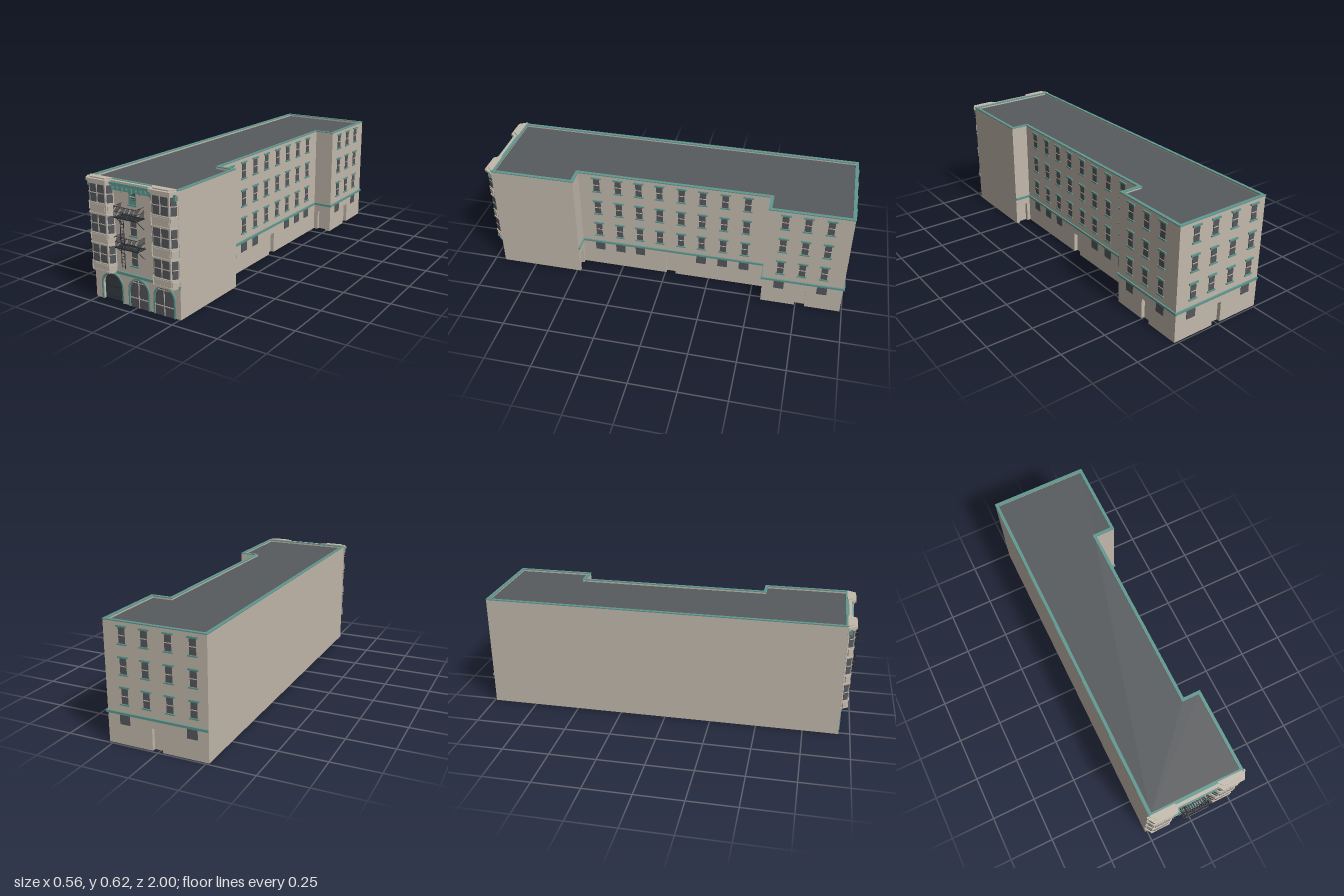
import * as THREE from 'three';

const mat = (name, color) => new THREE.MeshStandardMaterial({ name, color });

export function createModel() {
  const stone = mat('stone', 0xc3b9ac), teal = mat('tealTrim', 0x60988f), glass = mat('glass', 0x55585c);
  const roofing = mat('roofing', 0x585b5e), iron = mat('iron', 0x2f3338);
  const root = new THREE.Group();
  root.name = 'apartmentBuilding';
  const T = 0.012, TOP = 0.616, ZF = 0.94;

  const add = (parent, name, geo, m, x = 0, y = 0, z = 0) => {
    const mesh = new THREE.Mesh(geo, m);
    mesh.name = name;
    mesh.position.set(x, y, z);
    parent.add(mesh);
    return mesh;
  };
  const group = (parent, name, x = 0, y = 0, z = 0, ry = 0) => {
    const g = new THREE.Group();
    g.name = name;
    g.position.set(x, y, z);
    g.rotation.y = ry;
    parent.add(g);
    return g;
  };
  // box spanning u0..u1 and y0..y1, standing d proud of a wall from depth z0
  const panel = (p, name, m, u0, u1, y0, y1, d, z0 = 0) =>
    add(p, name, new THREE.BoxGeometry(u1 - u0, y1 - y0, d), m, (u0 + u1) / 2, (y0 + y1) / 2, z0 + d / 2);
  const extrude = (shape, depth) =>
    new THREE.ExtrudeGeometry(shape, { depth, bevelEnabled: false, curveSegments: 20 });
  const bar = (p, name, a, b, r = 0.0018) => {
    const A = new THREE.Vector3(...a), B = new THREE.Vector3(...b), d = B.clone().sub(A);
    const mesh = add(p, name, new THREE.CylinderGeometry(r, r, d.length(), 6), iron);
    mesh.position.copy(A).add(B).multiplyScalar(0.5);
    mesh.quaternion.setFromUnitVectors(new THREE.Vector3(0, 1, 0), d.normalize());
  };

  // Plan outline, inset by i
  const plan = (i) => [
    [-0.263 + i, 0.94 - i], [0.257 - i, 0.94 - i], [0.257 - i, 0.48 + i], [0.163 - i, 0.48 + i],
    [0.163 - i, -0.56 - i], [0.272 - i, -0.56 - i], [0.272 - i, -0.99 + i], [-0.263 + i, -0.99 + i],
  ].map(([x, z]) => new THREE.Vector2(x, -z));

  // Roof deck and coping
  add(root, 'roofDeck', extrude(new THREE.Shape(plan(T * 0.5)), 0.004).rotateX(-Math.PI / 2), roofing, 0, 0.603, 0);
  const copingShape = new THREE.Shape(plan(-0.002));
  copingShape.holes.push(new THREE.Path(plan(0.015)));
  add(root, 'roofCoping', extrude(copingShape, 0.005).rotateX(-Math.PI / 2), teal, 0, TOP, 0);

  // Wall with openings at ground level: doors are recessed, an arch stays open
  const wall = (name, x, z, ry, u0, u1, doors = [], arch = null) => {
    const g = group(root, name, x, 0, z, ry);
    const s = new THREE.Shape();
    s.moveTo(u0, 0);
    if (arch) {
      s.lineTo(arch.c - arch.r, 0);
      s.lineTo(arch.c - arch.r, arch.spring);
      s.absarc(arch.c, arch.spring, arch.r, Math.PI, 0, true);
      s.lineTo(arch.c + arch.r, 0);
    }
    for (const d of doors) {
      s.lineTo(d - 0.027, 0);
      s.lineTo(d - 0.027, 0.115);
      s.lineTo(d + 0.027, 0.115);
      s.lineTo(d + 0.027, 0);
      panel(g, 'recessedDoor', stone, d - 0.027, d + 0.027, 0, 0.115, 0.01, -0.03);
      for (const e of [-1, 1])
        panel(g, 'doorReveal', stone, d + e * 0.03 - 0.003, d + e * 0.03 + 0.003, 0, 0.115, 0.018, -0.03);
      panel(g, 'doorHead', stone, d - 0.033, d + 0.033, 0.115, 0.12, 0.018, -0.03);
    }
    s.lineTo(u1, 0);
    s.lineTo(u1, TOP);
    s.lineTo(u0, TOP);
    add(g, 'wallPanel', extrude(s, T), stone, 0, 0, -T);
    return g;
  };
  const band = (g, u0, u1) => {
    panel(g, 'beltCourse', teal, u0, u1, 0.155, 0.164, 0.005);
    panel(g, 'beltCourseCap', teal, u0, u1, 0.164, 0.169, 0.008);
  };
  const sash = (g, u, y) => {
    panel(g, 'windowGlass', glass, u - 0.017, u + 0.017, y + 0.008, y + 0.087, 0.003);
    panel(g, 'windowRail', stone, u - 0.017, u + 0.017, y + 0.045, y + 0.049, 0.005);
    panel(g, 'windowLintel', teal, u - 0.027, u + 0.027, y + 0.086, y + 0.095, 0.007);
    panel(g, 'windowSill', teal, u - 0.025, u + 0.025, y, y + 0.007, 0.007);
  };
  const floors = [0.205, 0.355, 0.505];
  const windows = (g, cols, low) => {
    for (const u of cols) for (const y of floors) sash(g, u, y);
    for (const u of low) panel(g, 'lowWindow', glass, u - 0.027, u + 0.027, 0.105, 0.156, 0.003);
  };

  // Side and back walls
  const H = Math.PI / 2;
  wall('leftLongWall', -0.263, 0, -H, -0.99, 0.94);
  wall('frontWingSide', 0.257, 0, H, -0.94, -0.48);
  const court = wall('courtWall', 0.163, 0, H, -0.48, 0.56, [0.033]);
  windows(court, [-0.38, -0.26, -0.145, -0.03, 0.09, 0.205, 0.325, 0.445], [-0.38, -0.26, -0.145, 0.205, 0.325, 0.445]);
  band(court, -0.48, 0.56);
  const rearSide = wall('rearWingSide', 0.272, 0, H, 0.56, 0.99, [0.772]);
  windows(rearSide, [0.65, 0.765, 0.88], [0.65, 0.88]);
  band(rearSide, 0.552, 0.998);
  const back = wall('backWall', 0, -0.99, Math.PI, -0.272, 0.263, [-0.006]);
  windows(back, [-0.172, -0.055, 0.068, 0.192], [-0.178, 0.18]);
  band(back, -0.28, 0.263);
  band(wall('frontWingReturn', 0, 0.48, Math.PI, -0.257, -0.151, [-0.21]), -0.257, -0.163);
  band(wall('rearWingReturn', 0, -0.56, 0, 0.151, 0.272, [0.215]), 0.163, 0.28);

  // Front wall with three arches
  const front = wall('frontWall', 0, ZF, 0, -0.263, 0.257, [], { c: -0.152, r: 0.061, spring: 0.082 });
  panel(front, 'frontBeltCourse', teal, -0.265, 0.26, 0.152, 0.163, 0.006);
  panel(front, 'frontBeltCap', teal, -0.267, 0.262, 0.163, 0.168, 0.01);
  const archShape = (r, spring) => {
    const s = new THREE.Shape();
    s.moveTo(-r, 0);
    s.lineTo(r, 0);
    s.lineTo(r, spring);
    s.absarc(0, spring, r, 0, Math.PI, false);
    return s;
  };
  for (const [c, R] of [[-0.152, 0.069], [0.013, 0.064], [0.165, 0.064]]) {
    const a = group(front, 'arch', c), spring = 0.151 - R, r = R - 0.008;
    const surround = new THREE.Shape();
    surround.moveTo(R, 0);
    surround.lineTo(R, spring);
    surround.absarc(0, spring, R, 0, Math.PI, false);
    surround.lineTo(-R, 0);
    surround.lineTo(-r, 0);
    surround.lineTo(-r, spring);
    surround.absarc(0, spring, r, Math.PI, 0, true);
    surround.lineTo(r, 0);
    add(a, 'archSurround', extrude(surround, 0.006), teal);
    if (c < -0.1) {
      for (let i = 0; i < 20; i++) {
        const u = -0.0615 + i * 0.00647;
        panel(a, 'gateBar', iron, u - 0.0018, u + 0.0018, 0, 0.148, 0.006, -0.02);
      }
      panel(a, 'gateRail', iron, -0.062, 0.062, 0, 0.004, 0.006, -0.02);
    } else {
      add(a, 'archFrame', extrude(archShape(r, spring), 0.002), stone);
      add(a, 'archGlass', extrude(archShape(r - 0.003, spring), 0.003), glass);
      panel(a, 'archMullion', stone, -0.0025, 0.0025, 0, 0.14, 0.005);
      panel(a, 'archTransom', stone, -r, r, 0.047, 0.052, 0.005);
      panel(a, 'archUpperBar', stone, -0.037, 0.037, 0.128, 0.131, 0.005);
    }
  }

  // Centre windows; the top one has a full surround
  panel(front, 'topWindowSurround', teal, -0.027, 0.017, 0.505, 0.575, 0.003);
  for (const y of floors) sash(front, -0.005, y);

  // Cornice between the bays
  const cornice = group(front, 'cornice');
  panel(cornice, 'frieze', teal, -0.127, 0.117, 0.57, 0.592, 0.006);
  panel(cornice, 'corniceBed', teal, -0.127, 0.117, 0.592, 0.602, 0.018);
  panel(cornice, 'corniceCrown', teal, -0.127, 0.117, 0.602, 0.612, 0.026);
  panel(cornice, 'corniceParapet', stone, -0.127, 0.117, 0.612, 0.619, 0.018);
  for (let i = 0; i < 9; i++) {
    const u = -0.117 + i * 0.028;
    panel(cornice, 'bracket', teal, u - 0.004, u + 0.004, i % 2 ? 0.578 : 0.567, 0.593, 0.014);
    panel(cornice, 'bracketHead', teal, u - 0.006, u + 0.006, 0.585, 0.596, 0.02);
  }

  // Canted bay windows
  const HB = 0.074, HF = 0.05, D = 0.032;
  const prism = (p, name, m, grow, y0, y1) => {
    const b = HB + grow * 1.2, f = HF + grow, d = D + grow;
    const s = new THREE.Shape([[-b, 0.005], [-b, 0], [-f, -d], [f, -d], [b, 0], [b, 0.005]].map((q) => new THREE.Vector2(...q)));
    return add(p, name, extrude(s, y1 - y0).rotateX(-H), m, 0, y0, 0);
  };
  for (const c of [-0.193, 0.181]) {
    const bay = group(front, 'bayWindow', c);
    prism(bay, 'bayBody', stone, 0, 0.163, 0.605);
    prism(bay, 'bayFoot', stone, -0.006, 0.15, 0.158);
    prism(bay, 'bayFootMoulding', stone, 0.004, 0.157, 0.165);
    prism(bay, 'bayCorniceBed', stone, 0.004, 0.596, 0.605);
    prism(bay, 'bayCornice', stone, 0.01, 0.605, 0.618);
    prism(bay, 'bayCap', stone, -0.004, 0.618, 0.624);
    // facets: front, then the two canted sides
    const ang = Math.atan2(D, HB - HF);
    for (const s of [0, -1, 1]) {
      const f = group(bay, 'bayFacet', s * (HB + HF) / 2, 0, s ? D / 2 : D, s * ang);
      const w = s ? 0.0145 : 0.043;
      for (const y of floors) {
        const top = y + 0.086;
        panel(f, 'bayGlass', glass, -w, w, y, top, 0.002);
        panel(f, 'bayTransom', stone, -w, w, y + 0.042, y + 0.046, 0.004);
        if (!s) panel(f, 'bayMullion', stone, -0.003, 0.003, y, top, 0.004);
        panel(f, 'baySpandrel', stone, -w, w, y - 0.044, y - 0.012, s ? 0.006 : 0.002);
      }
    }
    for (const y of floors) {
      prism(bay, 'baySill', stone, 0.004, y - 0.008, y - 0.003);
      if (y < 0.5) prism(bay, 'bayHead', stone, 0.004, y + 0.09, y + 0.096);
    }
    const outer = Math.sign(c) * 0.069;
    panel(bay, 'bayBracket', teal, outer - 0.005, outer + 0.005, 0.575, 0.605, 0.02);
  }

  // Fire escape: two balconies with railings, struts and ladders
  const escape = group(root, 'fireEscape', 0, 0, ZF);
  const x0 = -0.072, x1 = 0.061, z1 = 0.058;
  for (const y of [0.31, 0.457]) {
    const b = group(escape, 'balcony', 0, y);
    for (const z of [0.002, z1 - 0.004]) panel(b, 'balconyBeam', iron, x0, x1, -0.003, 0.003, 0.004, z);
    for (let i = 0; i <= 20; i++) {
      const x = x0 + (x1 - x0) * i / 20;
      if (i % 2 === 0) panel(b, 'deckSlat', iron, x - 0.0018, x + 0.0018, -0.002, 0.002, z1);
      bar(b, 'baluster', [x, 0, z1], [x, 0.055, z1], 0.0009);
    }
    for (const h of [0.03, 0.055]) bar(b, 'frontRail', [x0, h, z1], [x1, h, z1], 0.0014);
    for (const x of [x0, x1]) {
      for (const h of [0.03, 0.055]) bar(b, 'sideRail', [x, h, 0], [x, h, z1], 0.0014);
      for (let i = 1; i < 8; i++) bar(b, 'sideBaluster', [x, 0, z1 * i / 8], [x, 0.055, z1 * i / 8], 0.0009);
      const sx = x * 0.93;
      bar(b, 'strut', [sx, 0, z1 - 0.004], [sx, -0.054, 0], 0.0014);
    }
  }
  for (const [y0, y1] of [[0.2, 0.31], [0.31, 0.457]]) {
    for (const x of [-0.061, -0.041]) bar(escape, 'ladderRail', [x, y0, 0.03], [x, y1, 0.03]);
    for (let y = y0 + 0.012; y < y1; y += 0.016) bar(escape, 'ladderRung', [-0.061, y, 0.03], [-0.041, y, 0.03], 0.0012);
  }
  return root;
}
